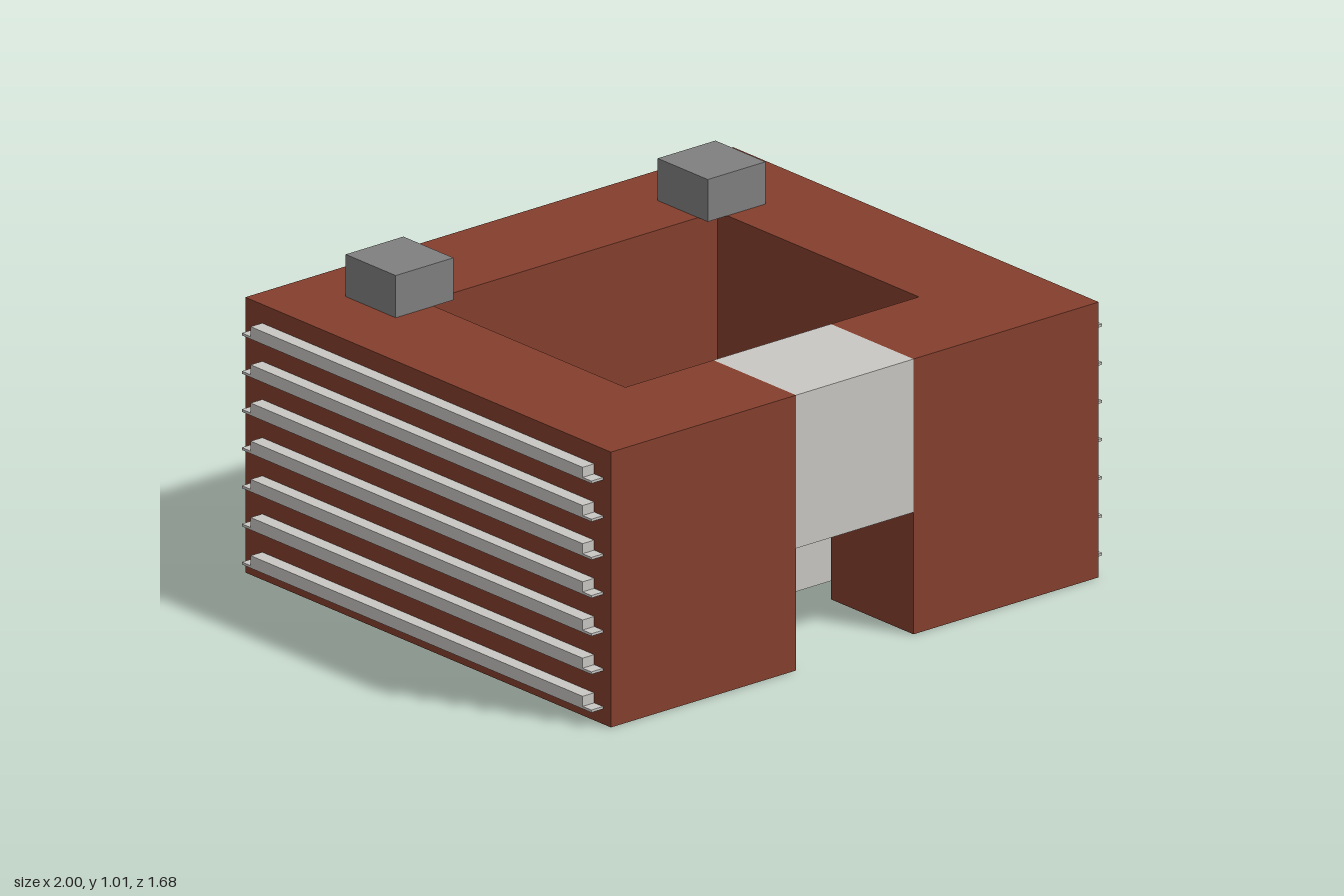
import * as THREE from 'three';

const paint = (name, color) => {
  const m = new THREE.MeshStandardMaterial({ color });
  m.name = name;
  return m;
};

export function createModel() {
  const brick = paint('brick', 0x853f2d);
  const stone = paint('pale stone', 0xc9c7c3);
  const grey = paint('vent grey', 0x808080);
  const slate = paint('slate roof', 0x8593a5);

  const model = new THREE.Group();
  model.name = 'courtyardBuilding';

  const add = (name, geometry, material, parent = model) => {
    const mesh = new THREE.Mesh(geometry, material);
    mesh.name = name;
    parent.add(mesh);
    return mesh;
  };
  // Box given by its lower and upper limits on each axis
  const block = (name, material, [x0, x1], [y0, y1], [z0, z1], parent) => {
    const g = new THREE.BoxGeometry(x1 - x0, y1 - y0, z1 - z0);
    g.translate((x0 + x1) / 2, (y0 + y1) / 2, (z0 + z1) / 2);
    return add(name, g, material, parent);
  };

  // Walls around the open courtyard, with a gap for the gate at the front
  const W = 0.955, D = 0.84, H = 0.88, gate = 0.23, yardX = 0.575;
  const plan = new THREE.Shape([
    [gate, -D], [W, -D], [W, D], [-W, D], [-W, -D], [-gate, -D],
    [-gate, -0.46], [-yardX, -0.46], [-yardX, 0.465],
    [yardX, 0.465], [yardX, -0.46], [gate, -0.46],
  ].map(([x, y]) => new THREE.Vector2(x, y)));
  const walls = new THREE.ExtrudeGeometry(plan, { depth: H, bevelEnabled: false });
  walls.rotateX(-Math.PI / 2);
  add('walls', walls, brick);

  // Pale bridge over the gateway
  block('gateBridge', stone, [-gate, gate], [0.39, H], [0.46, D]);

  // Pavilion in the courtyard with a low pyramid roof
  block('pavilion', stone, [-0.345, 0.345], [0, 0.21], [-0.345, 0.345]);
  const roof = new THREE.ConeGeometry(0.35 * Math.SQRT2, 0.095, 4, 1).toNonIndexed();
  roof.computeVertexNormals();
  roof.rotateY(Math.PI / 4);
  roof.translate(0, 0.2575, 0);
  add('pavilionRoof', roof, slate);

  for (const s of [1, -1]) {
    const side = s > 0 ? 'left' : 'right';
    const span = (a, b) => (s > 0 ? [a, b] : [-b, -a]);

    // Rooftop vents
    block(side + 'RoofVent', grey, span(0.498, 0.724), [H, 1.015], [-0.65, -0.42]);

    // Seven stepped ledges along each side wall
    const ledges = new THREE.Group();
    ledges.name = side + 'Ledges';
    model.add(ledges);
    for (let i = 0; i < 7; i++) {
      const y = 0.048 + i * 0.122;
      block('ledgePlate', stone, span(W, 1), [y, y + 0.008], [-0.803, 0.803], ledges);
      block('ledgeBar', stone, span(W, 1), [y + 0.008, y + 0.04], [-0.763, 0.763], ledges);
    }
  }
  return model;
}
